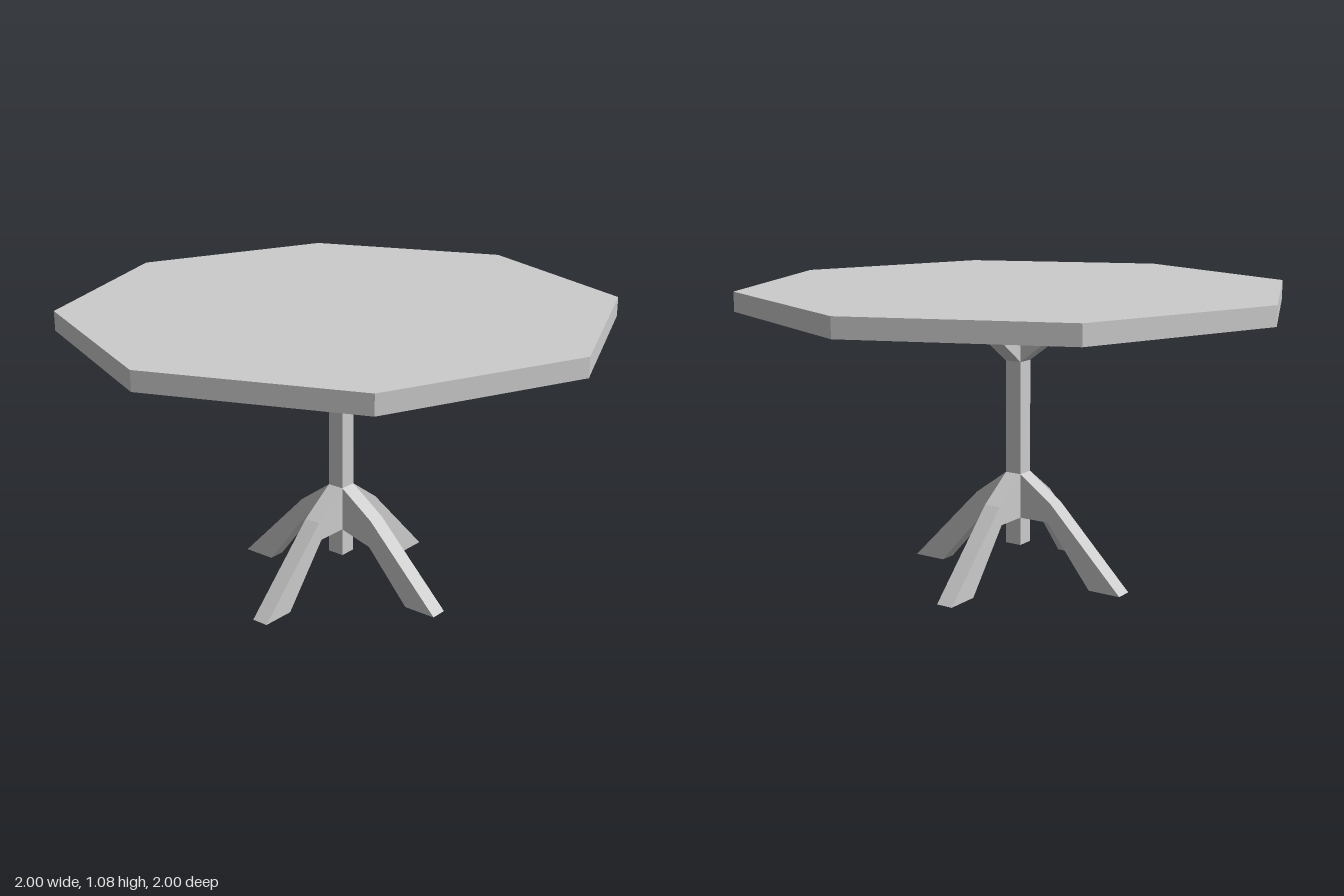
import * as THREE from 'three';

const WIDTH = 0.064;      // thickness of post, legs and brackets
const HALF = WIDTH / 2;

const material = new THREE.MeshStandardMaterial({ color: 0xcccccc, flatShading: true });

function part(name, geometry) {
  const mesh = new THREE.Mesh(geometry, material);
  mesh.name = name;
  return mesh;
}

// Plank cut from a (radius, height) outline, centred on its thickness
function plank(points) {
  const shape = new THREE.Shape(points.map(([r, y]) => new THREE.Vector2(r, y)));
  const geometry = new THREE.ExtrudeGeometry(shape, { depth: WIDTH, bevelEnabled: false });
  return geometry.translate(0, 0, -HALF);
}

// Outer curve of a leg down to the foot, then back up the underside
const legOutline = (knee) => [
  [HALF, 0.39], [0.165, 0.295], [0.456, 0], [0.329, 0], knee, [HALF, 0.225],
];

export function createModel() {
  const table = new THREE.Group();
  table.name = 'pedestalTable';

  // Octagonal top with corners on the axes
  const top = part('tableTop', new THREE.CylinderGeometry(1, 1, 0.07, 8));
  top.position.y = 1.04;
  table.add(top);

  // Square post turned 45 degrees
  const post = part('post', new THREE.BoxGeometry(WIDTH, 0.885, WIDTH));
  post.position.y = 0.5625;
  post.rotation.y = Math.PI / 4;
  table.add(post);

  // Four legs and four brackets on the diagonals
  const straightLeg = plank(legOutline([0.152, 0.225]));
  const slopedLeg = plank(legOutline([0.159, 0.19]));
  const bracketShape = plank([[HALF, 0.805], [0.244, 0.96], [0.244, 1.005], [HALF, 1.005]]);

  for (let i = 0; i < 4; i++) {
    const angle = -Math.PI / 4 + i * Math.PI / 2;
    const leg = part('leg', i === 0 ? slopedLeg : straightLeg);
    const bracket = part('topBracket', bracketShape);
    leg.rotation.y = bracket.rotation.y = angle;
    table.add(leg, bracket);
  }

  return table;
}
